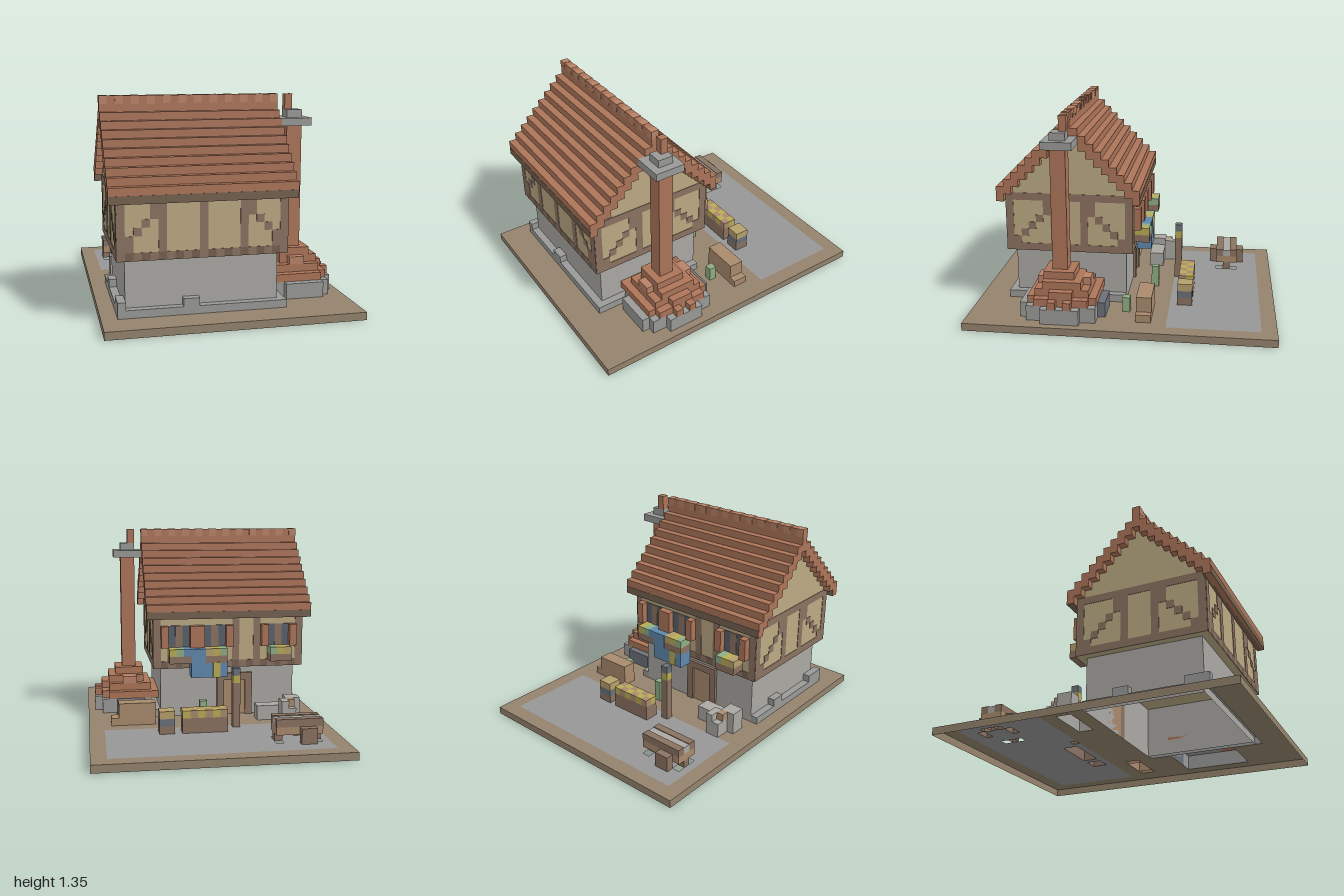
import * as THREE from 'three';

const C = {
  earth: 0x94836d, path: 0x969696, stone: 0xaaa8a3, slab: 0x999a98, slate: 0x6c7178,
  plaster: 0xbba983, timber: 0x8a7261, darkTimber: 0x75604f, tile: 0xac7459, tileLight: 0xb98267,
  wood: 0xa98a6c, yellow: 0xb9ab55, green: 0x8fae84, blue: 0x5f88ad, straw: 0xb59f6c, glass: 0x59616b,
};
const mats = {};
const mat = (c) => (mats[c] ??= new THREE.MeshStandardMaterial({ color: C[c], side: THREE.DoubleSide }));
const U = 0.05; // block size

export function createModel() {
  const model = new THREE.Group();
  let part = model;
  const group = (name) => {
    part = new THREE.Group();
    part.name = name;
    model.add(part);
  };
  const mesh = (name, color, geo) => {
    const m = new THREE.Mesh(geo, mat(color));
    m.name = name;
    part.add(m);
    return m;
  };
  // Block from its limits; blocks standing on the ground have no underside
  const box = (name, color, x0, x1, y0, y1, z0, z1) => {
    const g = new THREE.BoxGeometry(x1 - x0, y1 - y0, z1 - z0);
    if (Math.abs(y0 - U) < 1e-6) {
      g.setIndex([...g.index.array].filter((_, i) => i < 18 || i > 23));
      g.clearGroups();
    }
    g.translate((x0 + x1) / 2, (y0 + y1) / 2, (z0 + z1) / 2);
    return mesh(name, color, g);
  };
  // Flat sheet at ground height with rectangular cut-outs
  const rect = (P, [x0, x1, z0, z1]) => new P([[x0, z0], [x1, z0], [x1, z1], [x0, z1]].map((p) => new THREE.Vector2(...p)));
  const sheet = (name, color, outline, holes) => {
    const s = rect(THREE.Shape, outline);
    s.holes = holes.map((h) => rect(THREE.Path, h));
    const g = new THREE.ShapeGeometry(s);
    g.rotateX(Math.PI / 2).translate(0, U, 0);
    mesh(name, color, g);
  };

  // Ground: open underneath
  group('ground');
  const yard = [-0.7, 0.7, -0.9, -0.3];
  sheet('earth', 'earth', [-0.8, 0.8, -1, 1], [yard, [-0.7, 0.349, 0, 0.8], [0.351, 0.7, 0.15, 0.6], [0.35, 0.65, -0.2, -0.1], [-0.65, -0.35, -0.2, -0.1]]);
  sheet('pavedYard', 'path', yard, [[-0.1, 0.2, -0.45, -0.35], [0.25, 0.35, -0.45, -0.35], [-0.2, -0.15, -0.35, -0.301],
    [-0.6, -0.5, -0.6, -0.55], [-0.6, -0.5, -0.8, -0.75], [-0.65, -0.6, -0.75, -0.6], [-0.4, -0.35, -0.75, -0.6]]);
  for (const s of [-1, 1]) {
    const a = new THREE.PlaneGeometry(1.6, U);
    a.rotateY(s > 0 ? 0 : Math.PI).translate(0, U / 2, s);
    mesh('groundEdge', 'earth', a);
    const b = new THREE.PlaneGeometry(2, U);
    b.rotateY(s * Math.PI / 2).translate(s * 0.8, U / 2, 0);
    mesh('groundEdge', 'earth', b);
  }

  // Stone ground floor with plinth and door
  group('groundFloor');
  box('stoneWalls', 'stone', -0.65, 0.3, U, 0.4, 0, 0.75);
  box('plinthFront', 'slab', -0.7, 0.35, U, 0.1, 0.75, 0.8);
  box('plinthLeft', 'slab', 0.3, 0.35, U, 0.1, 0, 0.75);
  box('plinthRight', 'slab', -0.7, -0.65, U, 0.1, 0, 0.75);
  box('plinthCorner', 'slab', -0.7, -0.65, 0.1, 0.15, 0.65, 0.8);
  box('plinthStone', 'slab', -0.3, -0.2, 0.1, 0.15, 0.75, 0.8);
  box('plinthStone', 'slab', -0.7, -0.65, 0.1, 0.15, 0.2, 0.3);
  box('door', 'wood', -0.3, -0.15, U, 0.3, -0.006, 0);
  for (const x of [-0.35, -0.15]) box('doorPost', 'timber', x, x + U, U, 0.35, -0.02, 0);
  box('doorLintel', 'timber', -0.3, -0.15, 0.3, 0.35, -0.02, 0);

  // Half-timbered upper floor
  group('upperFloor');
  box('plasterWalls', 'plaster', -0.7, 0.35, 0.4, 0.8, -0.05, 0.8);
  const e = 0.003;
  const onZ = (z, x0, x1, y0, y1, c = 'timber') => box('beam', c, x0, x1, y0, y1, z - e, z + e);
  const onX = (x, z0, z1, y0, y1, c = 'timber') => box('beam', c, x - e, x + e, y0, y1, z0, z1);
  for (let i = 0; i < 21; i++) {
    const x = -0.7 + i * U;
    for (const z of [-0.05, 0.8]) onZ(z, x, x + U, 0.4, 0.45, i % 2 ? 'darkTimber' : 'timber');
  }
  for (const x of [-0.7, -0.45, -0.2, 0.05, 0.3]) onZ(0.8, x, x + U, 0.45, 0.75);
  for (const x of [-0.7, -0.4, -0.25, 0.3]) onZ(-0.05, x, x + U, 0.45, 0.75);
  for (let i = 0; i < 4; i++) { // front braces
    const y0 = i ? 0.5 + i * U : 0.45, y1 = i === 3 ? 0.75 : 0.55 + i * U;
    onZ(0.8, -0.65 + i * U, -0.6 + i * U, y0, y1);
    onZ(0.8, 0.25 - i * U, 0.3 - i * U, y0, y1);
  }
  for (const x of [-0.7, 0.35]) {
    onX(x, -0.05, 0.8, 0.4, 0.45);
    onX(x, -0.05, 0.8, 0.75, 0.8);
    for (const z of [-0.05, 0.25, 0.45, 0.75]) onX(x, z, z + U, 0.45, 0.75);
    for (let i = 0; i < 5; i++) { // side braces
      const y = 0.45 + i * U, h = i === 4 ? 0.1 : U;
      onX(x, 0.7 - i * U, 0.75 - i * U, y, y + h);
      onX(x, i * U, (i + 1) * U, y, y + h);
    }
  }

  // Back windows with shutters and flower boxes
  group('windows');
  for (const [x, flowers] of [[-0.6, ['straw', 'yellow', 'green']], [-0.15, ['green', 'yellow', 'straw']], [0.1, ['blue', 'green', 'yellow']]]) {
    box('pane', 'glass', x, x + 0.15, 0.55, 0.7, -0.056, -0.05);
    box('windowBar', 'timber', x + U, x + 0.1, 0.55, 0.7, -0.06, -0.05);
    for (const sx of [x - U, x + 0.15]) box('shutter', 'tile', sx, sx + U, 0.55, 0.7, -0.1, -0.05);
    box('flowerBox', 'timber', x, x + 0.15, 0.45, 0.5, -0.15, -0.05);
    flowers.forEach((c, i) => box('flowers', c, x + i * U, x + (i + 1) * U, 0.5, 0.55, -0.15, -0.05));
  }
  box('awning', 'blue', -0.15, 0.1, 0.35, 0.45, -0.15, -0.05);
  box('awningTop', 'blue', 0, 0.1, 0.45, 0.55, -0.152, -0.05);
  box('awningTrim', 'yellow', -0.1, -0.05, 0.35, 0.455, -0.153, -0.05);

  // Gables and stepped tile roof
  group('roof');
  const gable = new THREE.Shape([[-0.8, 0.8], [-0.8, 0.85], [-0.375, 1.275], [0.05, 0.85], [0.05, 0.8]].map((p) => new THREE.Vector2(...p)));
  const gg = new THREE.ExtrudeGeometry(gable, { depth: 1.05, bevelEnabled: false });
  gg.rotateY(Math.PI / 2).translate(-0.7, 0, 0);
  mesh('gables', 'plaster', gg);
  for (let i = 0; i < 9; i++) {
    const y = 0.75 + i * U;
    for (const z of [0.8 - i * U, -0.1 + i * U]) {
      box('tileRow', 'tile', -0.75, 0.4, y, y + 0.1, z, z + U);
    }
  }
  for (const [z0, z1] of [[0.8, 0.852], [-0.102, -0.05]]) box('eaveBeam', 'darkTimber', -0.748, 0.398, 0.75, 0.8, z0, z1);
  box('ridge', 'tile', -0.75, 0.4, 1.2, 1.35, 0.35, 0.4);
  for (let i = 0; i < 23; i += 2) box('ridgeTile', 'tileLight', -0.75 + i * U, -0.7 + i * U, 1.3, 1.352, 0.348, 0.402);

  // Chimney on its stepped hearth
  group('chimney');
  box('footing', 'slab', 0.35, 0.7, U, 0.15, 0.15, 0.6);
  box('footingSide', 'slab', 0.7, 0.75, U, 0.15, 0.25, 0.5);
  box('footingFront', 'slab', 0.4, 0.65, U, 0.15, 0.6, 0.65);
  box('footingBack', 'slate', 0.4, 0.6, U, 0.15, 0.1, 0.15);
  for (const [x0, x1, y, z0, z1] of [[0.3, 0.65, 0.15, 0.15, 0.6], [0.35, 0.7, 0.15, 0.2, 0.55], [0.7, 0.75, 0.15, 0.3, 0.35],
    [0.7, 0.75, 0.15, 0.4, 0.45], [0.35, 0.65, 0.2, 0.2, 0.55], [0.65, 0.7, 0.2, 0.3, 0.45], [0.4, 0.65, 0.25, 0.25, 0.5],
    [0.4, 0.6, 0.3, 0.3, 0.5]]) box('hearthStep', 'tile', x0, x1, y, y + U, z0, z1);
  for (const z of [0.2, 0.5]) box('hearthBrick', 'tileLight', 0.45, 0.55, 0.25, 0.3, z, z + U);
  box('stack', 'tile', 0.45, 0.55, 0.35, 1.2, 0.35, 0.45);
  box('cap', 'slab', 0.4, 0.6, 1.15, 1.2, 0.3, 0.5);
  box('capTop', 'slab', 0.45, 0.55, 1.2, 1.25, 0.35, 0.45);
  box('pot', 'tile', 0.45, 0.5, 1.25, 1.35, 0.35, 0.4);

  // Yard: bench, planter, crate, lantern post, stones, plants
  group('yardItems');
  box('bench', 'wood', 0.4, 0.6, U, 0.2, -0.2, -0.1);
  for (const x of [0.35, 0.6]) box('benchEnd', 'wood', x, x + U, U, x < 0.5 ? 0.2 : 0.1, -0.2, -0.1);
  box('planter', 'timber', -0.1, 0.2, U, 0.15, -0.45, -0.35);
  for (let i = 0; i < 12; i++) {
    const x = -0.1 + (i % 6) * U, z = i < 6 ? -0.45 : -0.4;
    box('planting', (i + (i > 5)) % 2 ? 'yellow' : 'wood', x, x + U, 0.15, 0.2, z, z + U);
  }
  ['timber', 'slate', 'straw'].forEach((c, i) => box('crate', c, 0.25, 0.35, U * (i + 1), U * (i + 2), -0.45, -0.35));
  [['timber', U, 0.35], ['yellow', 0.35, 0.4], ['slate', 0.4, 0.45]].forEach(([c, a, b]) => box('lanternPost', c, -0.2, -0.15, a, b, -0.35, -0.3));
  box('stonePile', 'stone', -0.65, -0.35, U, 0.15, -0.2, -0.1);
  box('stonePile', 'stone', -0.6, -0.5, U, 0.15, -0.3, -0.2);
  box('stonePile', 'stone', -0.65, -0.55, 0.15, 0.2, -0.2, -0.1);
  box('stonePile', 'stone', -0.55, -0.5, 0.15, 0.2, -0.3, -0.2);
  box('log', 'wood', -0.6, -0.55, 0.15, 0.2, -0.25, -0.2);
  box('plant', 'green', 0, 0.05, U, 0.2, -0.2, -0.15);
  box('plant', 'green', 0.45, 0.5, U, 0.15, -0.05, 0);

  // Table with two stools
  group('table');
  for (const x of [-0.65, -0.4]) box('tableLegs', 'timber', x, x + U, U, 0.1, -0.7, -0.65);
  box('tableFrame', 'wood', -0.65, -0.35, 0.1, 0.15, -0.75, -0.6);
  for (const z of [-0.75, -0.65]) box('tableTop', 'timber', -0.65, -0.35, 0.15, 0.2, z, z + U);
  box('tableCloth', 'stone', -0.65, -0.35, 0.15, 0.195, -0.7, -0.65);
  for (const z of [-0.8, -0.6]) box('stool', 'timber', -0.6, -0.5, U, 0.15, z, z + U);
  return model;
}
